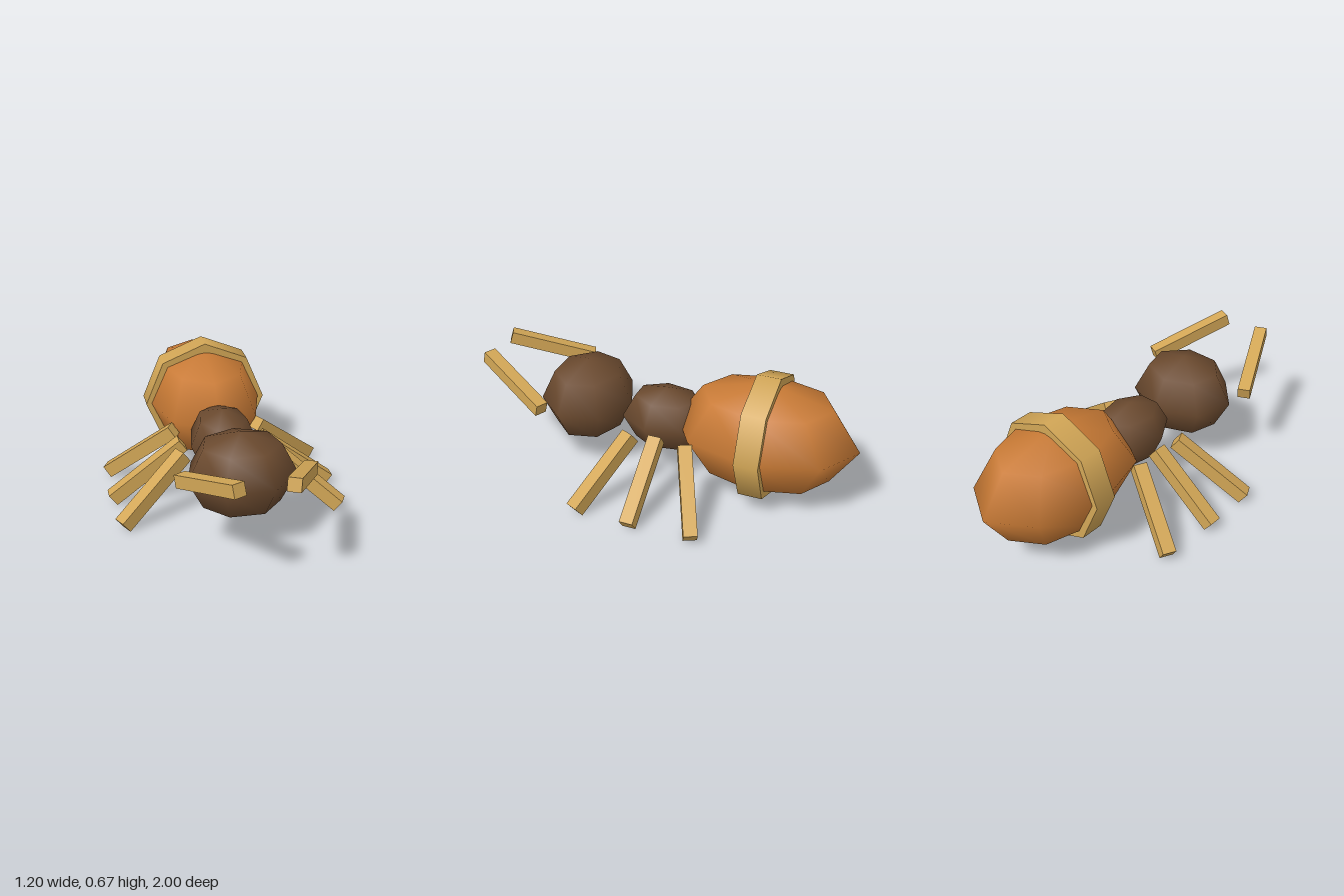
import * as THREE from 'three';

const flat = (name, color) => {
  const m = new THREE.MeshStandardMaterial({ color });
  m.name = name;
  return m;
};

export function createModel() {
  const model = new THREE.Group();
  model.name = 'ant';
  const brown = flat('dark brown', 0x6b4a2f);
  const orange = flat('orange brown', 0xc87a35);
  const tan = flat('tan', 0xd2a656);
  const deg = THREE.MathUtils.degToRad;

  const add = (name, geometry, material, x, y, z) => {
    const mesh = new THREE.Mesh(geometry, material);
    mesh.name = name;
    mesh.position.set(x, y, z);
    model.add(mesh);
    return mesh;
  };

  // Body segments: coarse smooth ellipsoids with one corner pointing backwards
  const segment = (name, sides, material, y, z, rx, ry, rz) => {
    const ball = new THREE.SphereGeometry(1, sides, 4).rotateY(-Math.PI / 2);
    add(name, ball.scale(rx, ry, rz), material, 0, y, z);
  };
  segment('head', 7, brown, 0.355, 0.457, 0.277, 0.217, 0.243);
  segment('thorax', 7, brown, 0.32, 0.018, 0.177, 0.175, 0.238);
  segment('abdomen', 8, orange, 0.345, -0.52, 0.315, 0.29, 0.48);

  // Eight-sided band around the abdomen
  const band = new THREE.CylinderGeometry(0.328, 0.328, 0.125, 8).rotateX(Math.PI / 2);
  add('abdomenBand', band, tan, 0, 0.342, -0.52);

  const legBox = new THREE.BoxGeometry(0.466, 0.07, 0.07);
  const antennaBox = new THREE.BoxGeometry(0.065, 0.065, 0.463);
  const legs = [['front', 0.207, 26], ['middle', -0.008, 0], ['back', -0.25, -26]];

  for (const [side, s] of [['Left', 1], ['Right', -1]]) {
    // Legs slope down and outwards, fanned front to back
    for (const [place, z, yaw] of legs) {
      const leg = add(place + side + 'Leg', legBox, tan, s * 0.392, 0.169, z);
      leg.rotation.set(0, -s * deg(yaw), -s * deg(37), 'YZX');
    }
    // Antennae rise forwards and lean inwards
    const antenna = add('antenna' + side, antennaBox, tan, s * 0.217, 0.477, 0.778);
    antenna.rotation.set(-deg(17), -s * deg(25.5), 0, 'YXZ');
  }
  return model;
}
